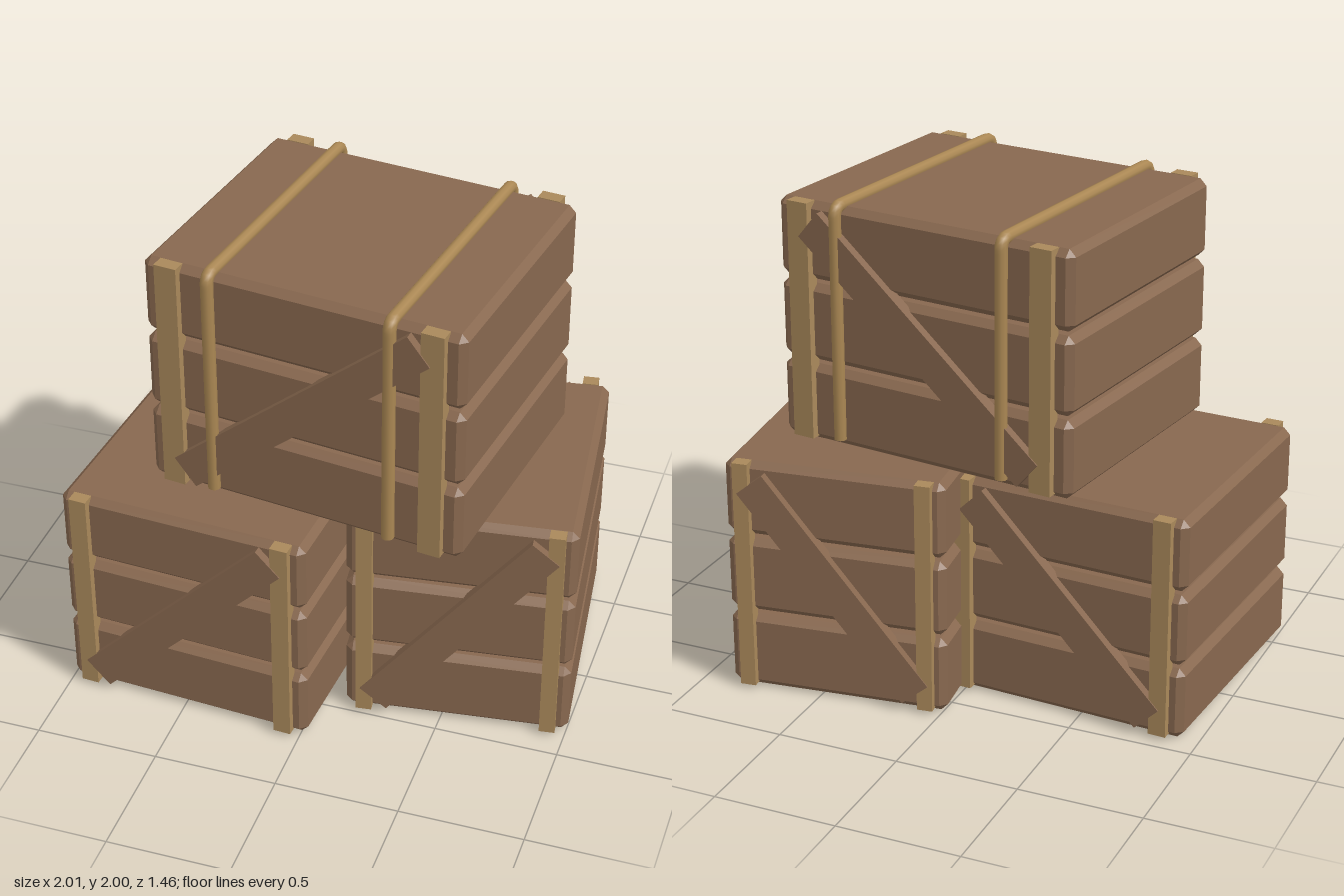
import * as THREE from 'three';
import { ConvexGeometry } from 'three/addons/geometries/ConvexGeometry.js';

const plankWood = new THREE.MeshStandardMaterial({ color: 0x88684f });
plankWood.name = 'plankWood';
const battenWood = new THREE.MeshStandardMaterial({ color: 0xaa895b });
battenWood.name = 'battenWood';
const ropeFibre = new THREE.MeshStandardMaterial({ color: 0xaa8753 });
ropeFibre.name = 'ropeFibre';

function addMesh(parent, name, geometry, material, x, y, z) {
  const mesh = new THREE.Mesh(geometry, material);
  mesh.name = name;
  mesh.position.set(x, y, z);
  parent.add(mesh);
  return mesh;
}

// Box with every edge chamfered by c
function chamferBox(w, h, d, c) {
  const points = [];
  for (const sx of [-1, 1]) for (const sy of [-1, 1]) for (const sz of [-1, 1]) {
    for (let axis = 0; axis < 3; axis++) {
      const inset = [c, c, c];
      inset[axis] = 0;
      points.push(new THREE.Vector3(
        sx * (w / 2 - inset[0]), sy * (h / 2 - inset[1]), sz * (d / 2 - inset[2])));
    }
  }
  return new ConvexGeometry(points);
}

function createCrate({ name, w, h, d, braceLength, braceAngle }) {
  const crate = new THREE.Group();
  crate.name = name;

  // Three stacked layers with narrow open gaps
  const gap = 0.016;
  const layerHeight = (h - 2 * gap) / 3;
  const layer = chamferBox(w, layerHeight, d, 0.028);
  for (let i = 0; i < 3; i++) {
    addMesh(crate, 'plankLayer', layer, plankWood, 0, layerHeight / 2 + i * (layerHeight + gap), 0);
  }

  // Upright battens and a diagonal brace on front and back
  const batten = new THREE.BoxGeometry(w * 0.07, h - 0.015, 0.055);
  const brace = new THREE.BoxGeometry(braceLength, 0.138, 0.05);
  for (const side of [-1, 1]) {
    for (const sx of [-1, 1]) {
      addMesh(crate, 'batten', batten, battenWood, sx * w * 0.412, h / 2 + 0.0085, side * (d / 2 + 0.0025));
    }
    addMesh(crate, 'diagonalBrace', brace, plankWood, 0, h / 2, side * (d / 2 + 0.01)).rotation.z = braceAngle;
  }
  return crate;
}

// Rope hanging over the top and down both faces
function addRope(crate, x, h, d) {
  const zEnd = d / 2 + 0.022, top = h + 0.005, bend = 0.04;
  const v = (y, z) => new THREE.Vector3(x, y, z);
  const path = new THREE.CurvePath();
  path.add(new THREE.LineCurve3(v(0.04, zEnd), v(top - bend, zEnd)));
  path.add(new THREE.QuadraticBezierCurve3(v(top - bend, zEnd), v(top, zEnd), v(top, zEnd - bend)));
  path.add(new THREE.LineCurve3(v(top, zEnd - bend), v(top, bend - zEnd)));
  path.add(new THREE.QuadraticBezierCurve3(v(top, bend - zEnd), v(top, -zEnd), v(top - bend, -zEnd)));
  path.add(new THREE.LineCurve3(v(top - bend, -zEnd), v(0.04, -zEnd)));
  addMesh(crate, 'rope', new THREE.TubeGeometry(path, 200, 0.025, 10), ropeFibre, 0, 0, 0);
  // Closed rope ends
  const cap = new THREE.CircleGeometry(0.025, 10).rotateX(Math.PI / 2);
  for (const side of [-1, 1]) addMesh(crate, 'ropeEnd', cap, ropeFibre, x, 0.04, side * zEnd);
}

export function createModel() {
  const model = new THREE.Group();
  model.name = 'crateStack';

  const crates = [
    { name: 'rightCrate', w: 1.03, h: 0.92, d: 1.06, braceLength: 1.08, braceAngle: 0.788, at: [-0.455, 0.005, 0.14], turn: -0.066 },
    { name: 'leftCrate', w: 0.9, h: 0.975, d: 1.07, braceLength: 1.05, braceAngle: 0.887, at: [0.495, 0.005, -0.115], turn: 0.123 },
    { name: 'topCrate', w: 1.3, h: 0.975, d: 1.07, braceLength: 1.265, braceAngle: 0.699, at: [0.0525, 0.995, 0.05], turn: -0.134 },
  ];
  for (const spec of crates) {
    const crate = createCrate(spec);
    crate.position.set(...spec.at);
    crate.rotation.y = spec.turn;
    if (spec.name === 'topCrate') {
      for (const sx of [-1, 1]) addRope(crate, sx * 0.366, spec.h, spec.d);
    }
    model.add(crate);
  }
  return model;
}
